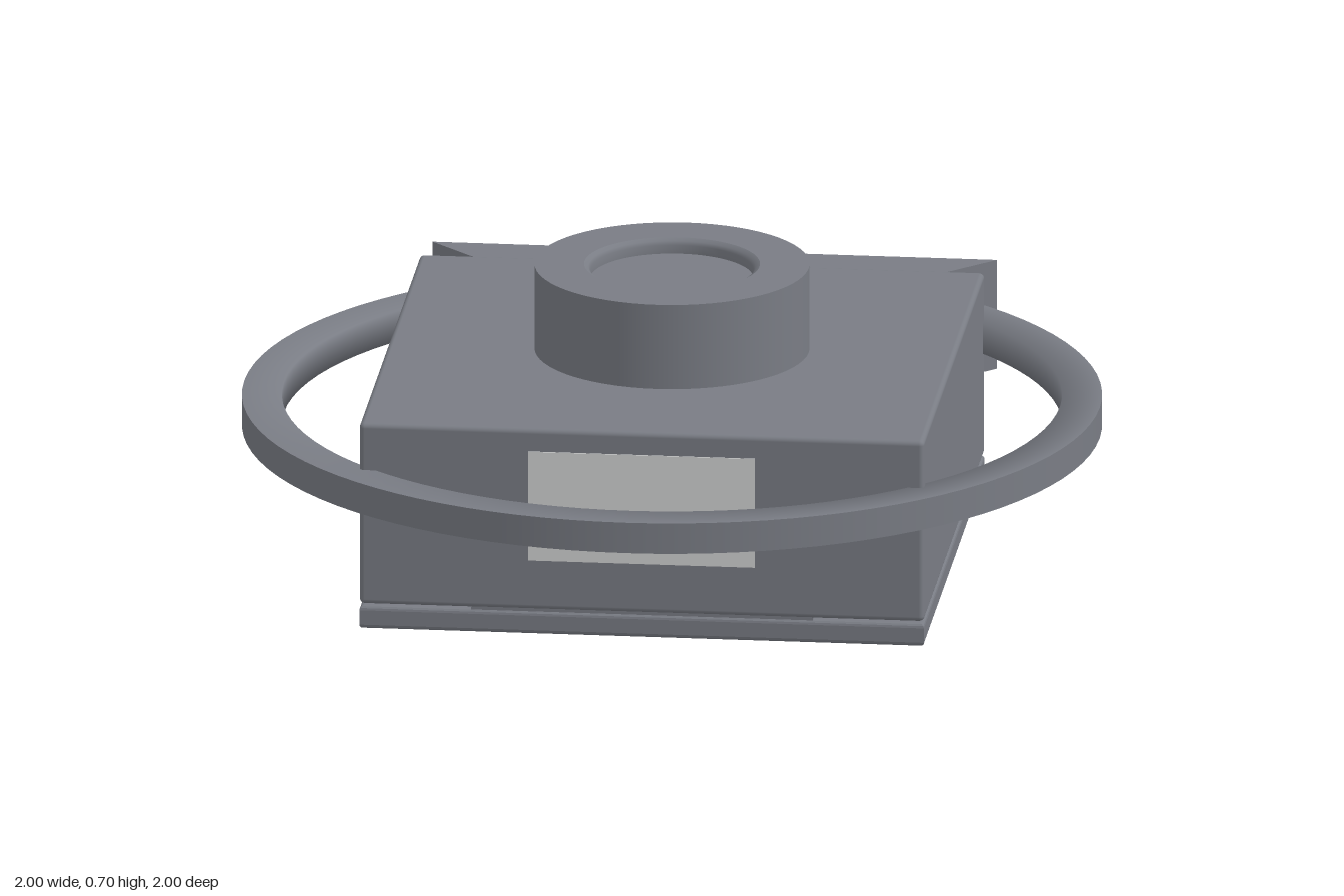
import * as THREE from 'three';
import { mergeGeometries } from 'three/addons/utils/BufferGeometryUtils.js';
import { RoundedBoxGeometry } from 'three/addons/geometries/RoundedBoxGeometry.js';

const V = (x, y) => new THREE.Vector2(x, y);

// Lathe with a sharp edge between each smooth run of profile points
function turned(runs, segments) {
  return mergeGeometries(runs.map(run =>
    new THREE.LatheGeometry(run.map(([r, y]) => V(r, y)), segments)));
}

// Plan outline (x, -z) raised from height y
function raised(shape, y, options) {
  const g = new THREE.ExtrudeGeometry(shape, { bevelEnabled: false, ...options });
  return g.rotateX(-Math.PI / 2).translate(0, y, 0);
}

export function createModel() {
  const group = new THREE.Group();
  const casing = new THREE.MeshStandardMaterial({ color: 0x797c84 });
  casing.name = 'slate grey casing';
  const pale = new THREE.MeshStandardMaterial({ color: 0xd0d1d1 });
  pale.name = 'pale grey display';

  const add = (name, geometry, material = casing) => {
    const mesh = new THREE.Mesh(geometry, material);
    mesh.name = name;
    group.add(mesh);
    return mesh;
  };

  // Main housing with softened edges
  add('housing', new RoundedBoxGeometry(1.32, 0.44, 1.32, 3, 0.012)).position.y = 0.285;

  // Base plate with two mounting slots through it
  const e = 0.65;
  const plate = new THREE.Shape([V(-e, -e), V(e, -e), V(e, e), V(-e, e)]);
  for (const x of [-0.24, 0.24]) {
    const slot = new THREE.Path();
    slot.absarc(x + 0.07, 0, 0.032, -Math.PI / 2, Math.PI / 2, false);
    slot.absarc(x - 0.07, 0, 0.032, Math.PI / 2, Math.PI * 1.5, false);
    slot.closePath();
    plate.holes.push(slot);
  }
  add('basePlate', raised(plate, 0.015, {
    depth: 0.035, bevelEnabled: true, bevelSize: 0.01, bevelThickness: 0.01, bevelSegments: 3, curveSegments: 8,
  }));

  // Thin lip in the seam between base and housing
  add('seamLip', new THREE.BoxGeometry(0.8, 0.02, 1.308)).position.y = 0.06;

  // Round knob with a shallow dished top
  add('knob', turned([
    [[0.32, 0.49], [0.32, 0.71]],
    [[0.32, 0.71], [0.205, 0.71]],
    [[0.205, 0.71], [0.195, 0.704], [0.19, 0.695], [0.19, 0.675]],
    [[0.19, 0.675], [0, 0.675]],
  ], 64));

  // Large hoop: flat outer wall, softly shaded top, inside and underside
  add('hoop', turned([
    [[1, 0.318], [1, 0.392]],
    [[1, 0.392], [0.907, 0.392], [0.907, 0.318], [1, 0.318]],
  ], 96));

  // Rear bracket flaring outward to a wide back edge
  const bracket = new THREE.Shape([
    V(-0.5, 0.64), V(0.5, 0.64), V(0.5, 0.77), V(0.66, 0.93), V(-0.66, 0.93), V(-0.5, 0.77),
  ]);
  add('rearBracket', raised(bracket, 0.185, { depth: 0.265 }));

  // Display panel on the front face
  add('display', new THREE.BoxGeometry(0.53, 0.265, 0.006), pale).position.set(0, 0.318, 0.66);

  return group;
}
